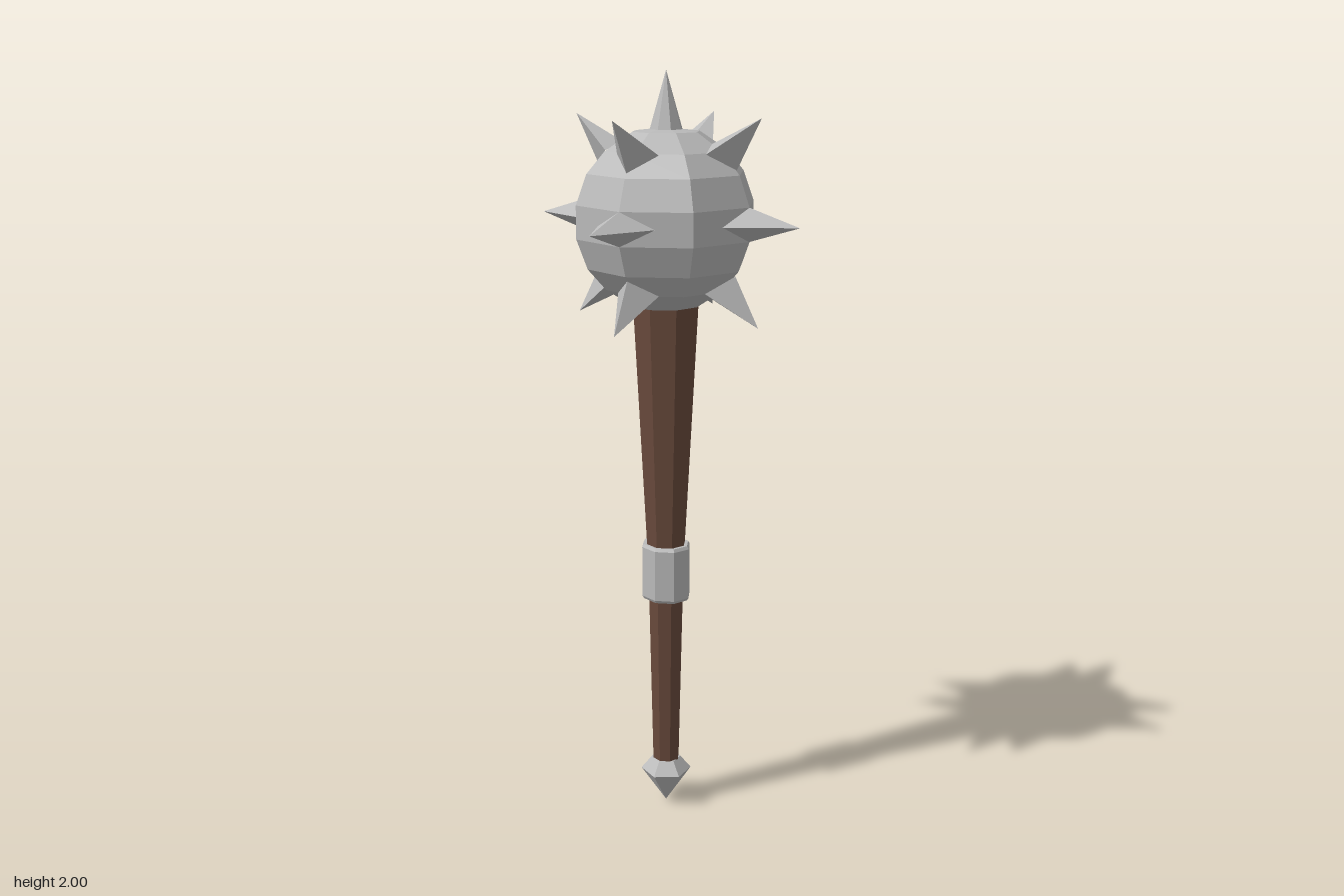
import * as THREE from 'three';

const metal = new THREE.MeshStandardMaterial({ name: 'steel', color: 0xbababa, flatShading: true });
const wood = new THREE.MeshStandardMaterial({ name: 'brown wood', color: 0x694a3c, flatShading: true });

// Faceted turned part from [radius, y] points listed bottom to top
function turned(name, material, points, sides = 8) {
  const profile = points.map(([r, y]) => new THREE.Vector2(r, y));
  const mesh = new THREE.Mesh(new THREE.LatheGeometry(profile, sides), material);
  mesh.name = name;
  return mesh;
}

// Four-sided spike pointing along +x; top, side, bottom and tip are [outward, y]
function spikeGeometry(top, side, halfWidth, bottom, tip) {
  const base = [[...top, 0], [...side, halfWidth], [...bottom, 0], [...side, -halfWidth]];
  const positions = [];
  for (let i = 0; i < 4; i++) positions.push(...base[i], ...base[(i + 1) % 4], ...tip, 0);
  const geometry = new THREE.BufferGeometry();
  geometry.setAttribute('position', new THREE.Float32BufferAttribute(positions, 3));
  geometry.computeVertexNormals();
  return geometry;
}

export function createModel() {
  const model = new THREE.Group();
  model.name = 'spikedMace';

  // Pommel
  model.add(turned('pommel', metal, [[0, 0], [0.069, 0.1], [0.04, 0.135], [0, 0.135]], 6));

  // Tapered handle
  const handle = turned('handle', wood, [[0, 0.125], [0.037, 0.125], [0.05, 0.7], [0.09, 1.44]]);
  handle.scale.z = 0.96;
  model.add(handle);

  // Collar
  const collar = turned('collar', metal,
    [[0.045, 0.615], [0.064, 0.615], [0.069, 0.623], [0.069, 0.762], [0.064, 0.77], [0.045, 0.77]]);
  collar.scale.z = 0.9;
  model.add(collar);

  // Head, centred on its own origin
  const head = new THREE.Group();
  head.name = 'head';
  head.position.y = 1.634;
  model.add(head);

  const upper = [[0.233, 0.042], [0.205, 0.118], [0.158, 0.172], [0.087, 0.218], [0, 0.228]];
  const lower = upper.map(([r, y]) => [r, -y]).reverse();
  head.add(turned('ball', metal, [...lower, ...upper]));

  // Top spike
  head.add(turned('topSpike', metal, [[0.044, 0.218], [0, 0.366]]));

  // Rings of four spikes
  const rings = {
    middleSpike: spikeGeometry([0.233, 0.042], [0.2, 0], 0.08, [0.233, -0.042], [0.369, 0]),
    upperSpike: spikeGeometry([0.127, 0.19], [0.142, 0.17], 0.058, [0.197, 0.13], [0.262, 0.256]),
    lowerSpike: spikeGeometry([0.197, -0.13], [0.142, -0.17], 0.058, [0.127, -0.19], [0.262, -0.256]),
  };
  for (const [name, geometry] of Object.entries(rings)) {
    for (let i = 0; i < 4; i++) {
      const spike = new THREE.Mesh(geometry, metal);
      spike.name = name;
      spike.rotation.y = i * Math.PI / 2;
      head.add(spike);
    }
  }
  return model;
}
